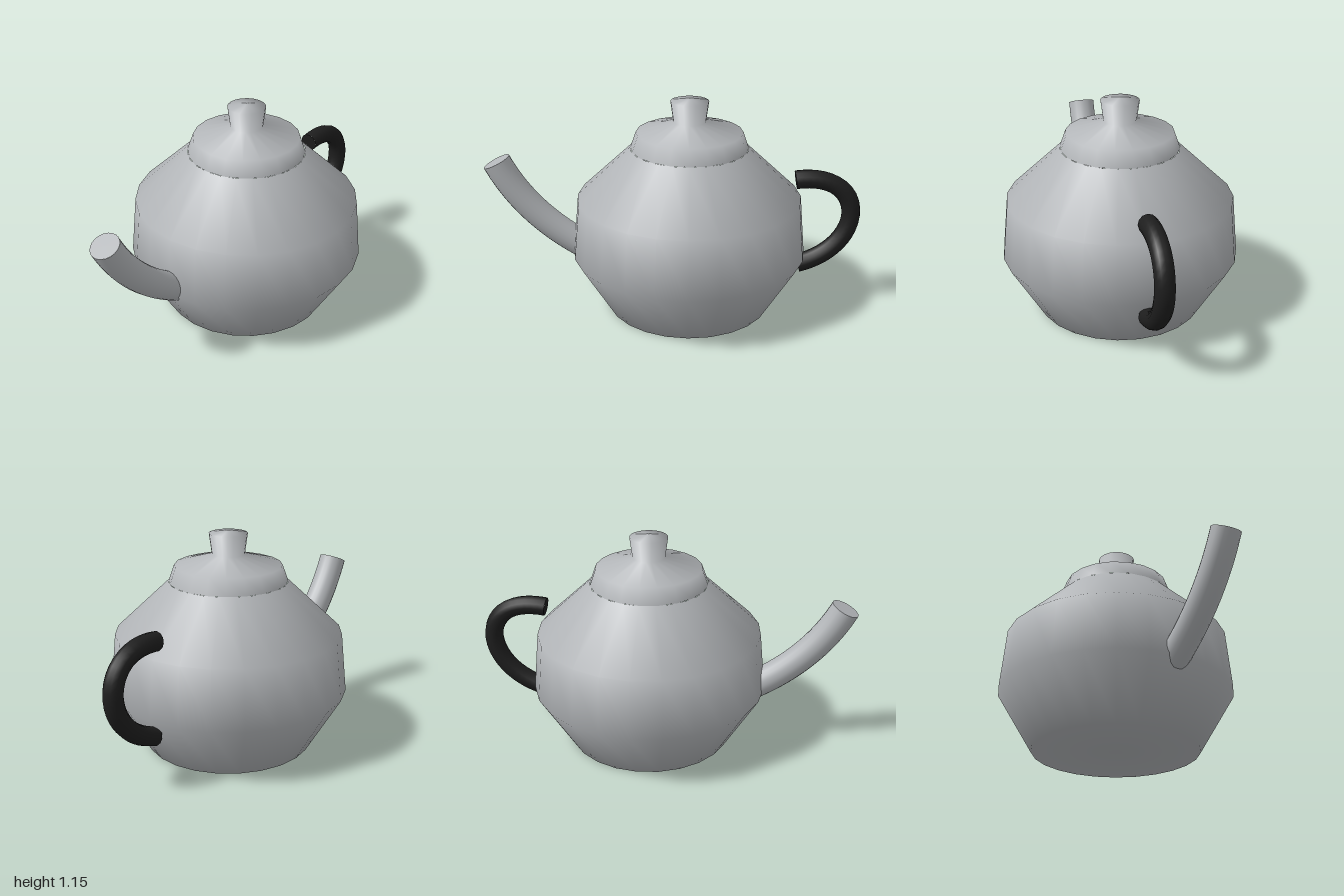
import * as THREE from 'three';

const CENTER_X = 0.085;

export function createModel() {
  const model = new THREE.Group();
  model.name = 'teapot';
  const metal = new THREE.MeshStandardMaterial({ name: 'grey metal', color: 0xb2b5b8 });
  const black = new THREE.MeshStandardMaterial({ name: 'black handle', color: 0x1e1e1e });

  const add = (name, geometry, material, parent = model) => {
    const mesh = new THREE.Mesh(geometry, material);
    mesh.name = name;
    parent.add(mesh);
    return mesh;
  };

  // Turned part from [radius, height] pairs, listed bottom to top
  const turned = (name, profile, segments) => {
    const points = profile.map(([r, y]) => new THREE.Vector2(r, y));
    add(name, new THREE.LatheGeometry(points, segments), metal).position.x = CENTER_X;
  };

  // Round tube along a curve, closed with a flat disc at each end
  const cappedTube = (name, curve, radius, sides, material) => {
    const group = new THREE.Group();
    group.name = name;
    model.add(group);
    add(name + 'Tube', new THREE.TubeGeometry(curve, 24, radius, sides), material, group);
    for (const t of [0, 1]) {
      const cap = add(name + 'End', new THREE.CircleGeometry(radius, sides), material, group);
      cap.position.copy(curve.getPointAt(t));
      const outward = curve.getTangentAt(t).multiplyScalar(t ? 1 : -1);
      cap.quaternion.setFromUnitVectors(new THREE.Vector3(0, 0, 1), outward);
    }
  };
  const v = (x, y) => new THREE.Vector3(x, y, 0);

  // Faceted pot with a closed base
  turned('body', [[0, 0], [0.44, 0], [0.625, 0.31], [0.595, 0.62], [0.31, 0.89]], 24);

  // Lid rising to a flared knob
  turned('lid', [[0.31, 0.89], [0.28, 0.975], [0.085, 1.03], [0.1, 1.14], [0, 1.155]], 20);

  // Spout sweeping up to the model's right
  cappedTube('spout',
    new THREE.QuadraticBezierCurve3(v(-0.42, 0.29), v(-0.78, 0.48), v(-0.935, 0.803)),
    0.075, 20, metal);

  // Handle loop on the model's left
  cappedTube('handle',
    new THREE.CubicBezierCurve3(v(0.65, 0.712), v(1.045, 0.77), v(1.05, 0.33), v(0.68, 0.225)),
    0.05, 12, black);

  return model;
}
